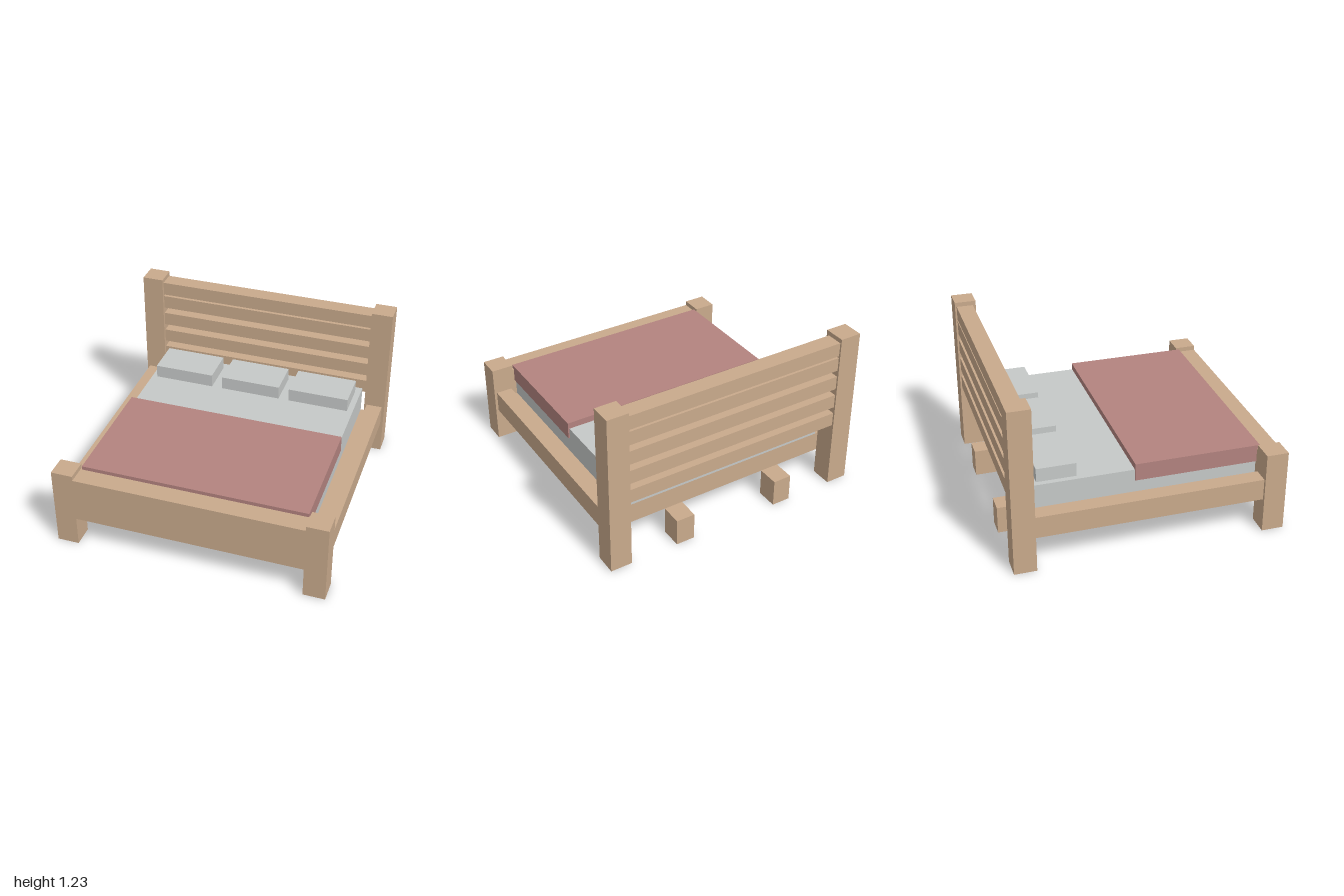
import * as THREE from 'three';

const material = (name, color) => {
  const m = new THREE.MeshStandardMaterial({ color });
  m.name = name;
  return m;
};

export function createModel() {
  const wood = material('oak wood', 0xc9aa8c);
  const linen = material('grey linen', 0xc6c9c8);
  const red = material('dusty red cloth', 0xb3837f);

  const bed = new THREE.Group();
  bed.name = 'bed';

  // Adds a box spanning the given [min, max] ranges
  const box = (name, mat, [x0, x1], [y0, y1], [z0, z1]) => {
    const mesh = new THREE.Mesh(new THREE.BoxGeometry(x1 - x0, y1 - y0, z1 - z0), mat);
    mesh.position.set((x0 + x1) / 2, (y0 + y1) / 2, (z0 + z1) / 2);
    mesh.name = name;
    bed.add(mesh);
  };
  // Adds a box on each side of the bed
  const pair = (name, mat, [x0, x1], y, z) => {
    box(name + 'Left', mat, [x0, x1], y, z);
    box(name + 'Right', mat, [-x1, -x0], y, z);
  };

  // Frame: corner posts, rear support legs and side rails
  pair('headPost', wood, [0.84, 1], [0, 1.23], [-0.98, -0.82]);
  pair('footPost', wood, [0.84, 1], [0, 0.61], [0.82, 0.98]);
  pair('rearLeg', wood, [0.34, 0.48], [0, 0.205], [-0.98, -0.82]);
  pair('sideRail', wood, [0.86, 0.98], [0.25, 0.41], [-0.82, 0.82]);
  box('footboard', wood, [-0.84, 0.84], [0.23, 0.575], [0.82, 0.98]);
  box('base', wood, [-0.86, 0.86], [0.205, 0.355], [-0.82, 0.84]);

  // Headboard slats
  for (const y of [0.563, 0.718, 0.873, 1.026, 1.145]) {
    box('headboardSlat', wood, [-0.84, 0.84], [y - 0.052, y + 0.052], [-0.967, -0.843]);
  }

  // Bedding
  box('mattress', linen, [-0.815, 0.815], [0.355, 0.555], [-0.82, 0.82]);
  box('blanket', red, [-0.828, 0.826], [0.475, 0.603], [-0.075, 0.84]);
  for (const x of [-0.545, -0.002, 0.54]) {
    box('pillow', linen, [x - 0.231, x + 0.231], [0.555, 0.655], [-0.757, -0.477]);
  }

  return bed;
}
